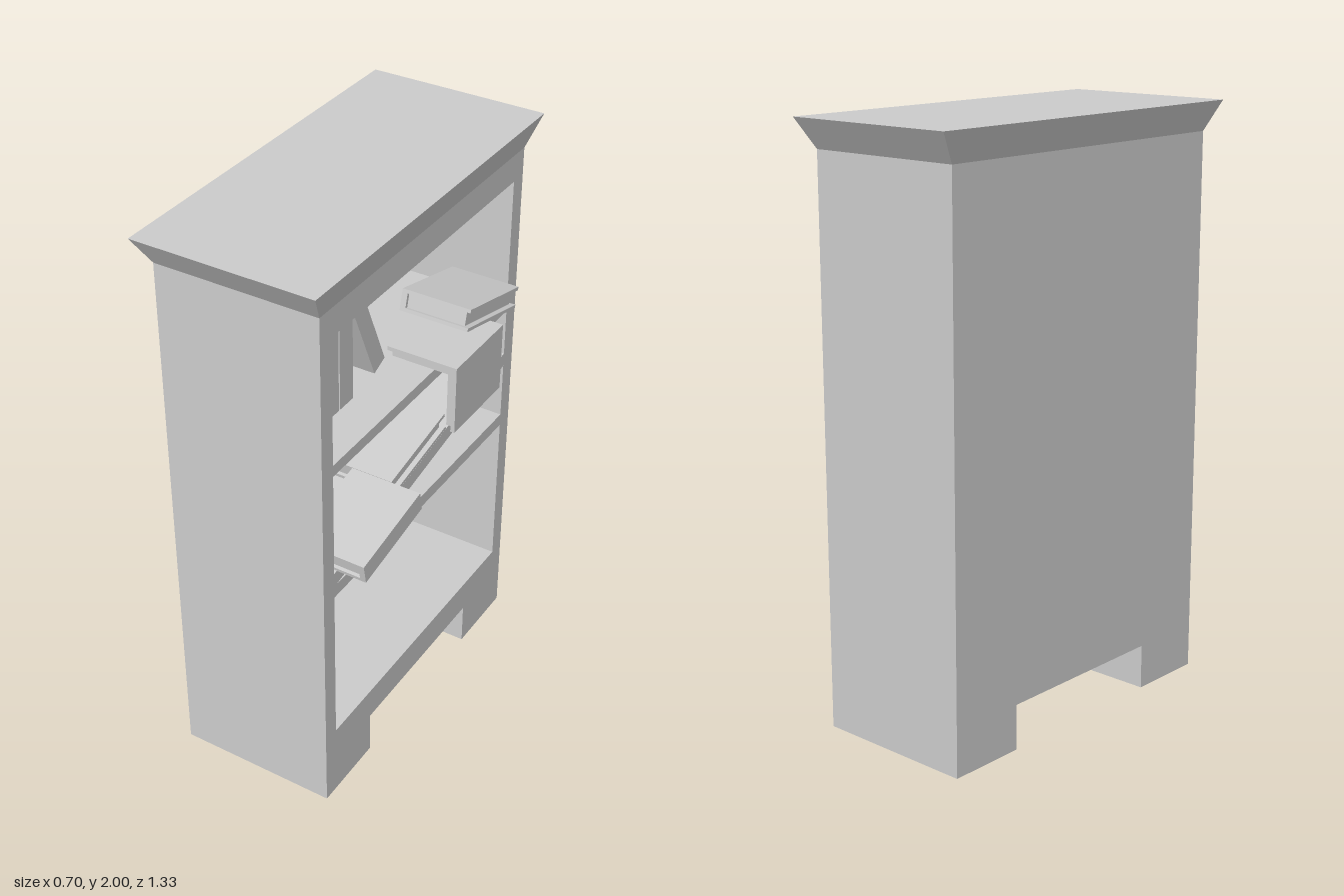
import * as THREE from 'three';

const material = new THREE.MeshStandardMaterial({ color: 0xcccccc });

function shapeOf(points) {
  return new THREE.Shape(points.map(([x, y]) => new THREE.Vector2(x, y)));
}

function mesh(name, geometry, parent) {
  const m = new THREE.Mesh(geometry, material);
  m.name = name;
  parent.add(m);
  return m;
}

function extrude(shape, depth) {
  return new THREE.ExtrudeGeometry(shape, { depth, bevelEnabled: false });
}

function box(name, [x0, x1], [y0, y1], [z0, z1], parent) {
  const m = mesh(name, new THREE.BoxGeometry(x1 - x0, y1 - y0, z1 - z0), parent);
  m.position.set((x0 + x1) / 2, (y0 + y1) / 2, (z0 + z1) / 2);
}

// Upright slab, drawn as (-z, y) and extruded along x
function slab(name, holes, x0, x1, parent) {
  const shape = shapeOf([
    [-0.6, 0], [-0.325, 0], [-0.325, 0.155], [0.325, 0.155],
    [0.325, 0], [0.6, 0], [0.6, 1.9], [-0.6, 1.9],
  ]);
  shape.holes = holes.map(shapeOf);
  const m = mesh(name, extrude(shape, x1 - x0), parent);
  m.rotation.y = Math.PI / 2;
  m.position.x = x0;
}

// Closed book lying flat: spine at +x, thickness along y, length along z
function book(name, parent, { x, y, z, tilt, thick = 0.07, turned = false }) {
  const length = 0.34, half = 0.125, t = thick / 2, c = 0.012;
  const inner = half - 0.02;
  const group = new THREE.Group();
  group.name = name;
  const cover = extrude(shapeOf([
    [-half, -t], [half, -t], [half, t], [-half, t],
    [-half, t - c], [inner, t - c], [inner, c - t], [-half, c - t],
  ]), length);
  cover.translate(0, 0, -length / 2);
  mesh('cover', cover, group);
  box('pages', [0.018 - half, inner], [c - t, t - c], [0.012 - length / 2, length / 2 - 0.012], group);
  if (turned) group.scale.set(-1, 1, 1), group.rotation.set(0, 0, 0);
  group.rotation.x = tilt;
  group.position.set(x, y, z);
  parent.add(group);
}

// Open book draped over the shelf edge
function openBook(parent) {
  const group = new THREE.Group();
  group.name = 'openBook';
  const z0 = -0.345, z1 = -0.04;
  const cover = extrude(shapeOf([
    [0.08, 1.385], [0.317, 1.385], [0.317, 1.155],
    [0.332, 1.155], [0.332, 1.4], [0.08, 1.4],
  ]), z1 - z0);
  cover.translate(0, 0, z0);
  mesh('cover', cover, group);
  const span = [z0 + 0.012, z1 - 0.012];
  box('lyingPages', [0.092, 0.317], [1.361, 1.385], span, group);
  box('hangingPages', [0.295, 0.317], [1.167, 1.361], span, group);
  parent.add(group);
}

export function createModel() {
  const model = new THREE.Group();
  model.name = 'bookcase';

  // Case: three bays, the middle one split by a collapsed shelf
  slab('frameAndShelves', [
    [[-0.54, 0.27], [0.54, 0.27], [0.54, 0.85], [-0.54, 0.85]],
    [[-0.53, 0.895], [0.54, 0.895], [0.54, 1.1]],
    [[-0.54, 0.945], [0.54, 1.15], [0.54, 1.32], [-0.54, 1.32]],
    [[-0.54, 1.36], [0.54, 1.36], [0.54, 1.805], [-0.54, 1.805]],
  ], -0.26, 0.245, model);
  slab('backPanel', [], -0.32, -0.26, model);

  // Crown: a box flared outward at the top
  const crown = new THREE.BoxGeometry(0.565, 0.1, 1.2);
  const p = crown.attributes.position;
  for (let i = 0; i < p.count; i++) {
    if (p.getY(i) > 0) {
      p.setX(i, Math.sign(p.getX(i)) * 0.3135);
      p.setZ(i, Math.sign(p.getZ(i)) * 0.665);
    }
  }
  crown.computeVertexNormals();
  mesh('crown', crown, model).position.set(-0.0375, 1.95, 0);

  // Top shelf books
  for (const z of [0.493, 0.413, 0.332, 0.252]) {
    book('uprightBook', model, { x: -0.015, y: 1.53, z, tilt: -Math.PI / 2, thick: 0.074 });
  }
  book('leaningBook', model, { x: -0.025, y: 1.535, z: 0.108, tilt: -1.166, thick: 0.066 });
  book('proppedBook', model, { x: 0.165, y: 1.441, z: -0.354, tilt: -0.25, thick: 0.075, turned: true });
  openBook(model);

  // Books sliding down the collapsed shelf
  book('slidingBook', model, { x: 0.225, y: 1.013, z: 0.364, tilt: 0.188 });
  book('restingBook', model, { x: 0.12, y: 1.078, z: 0.03, tilt: 0.188, turned: true });

  return model;
}
